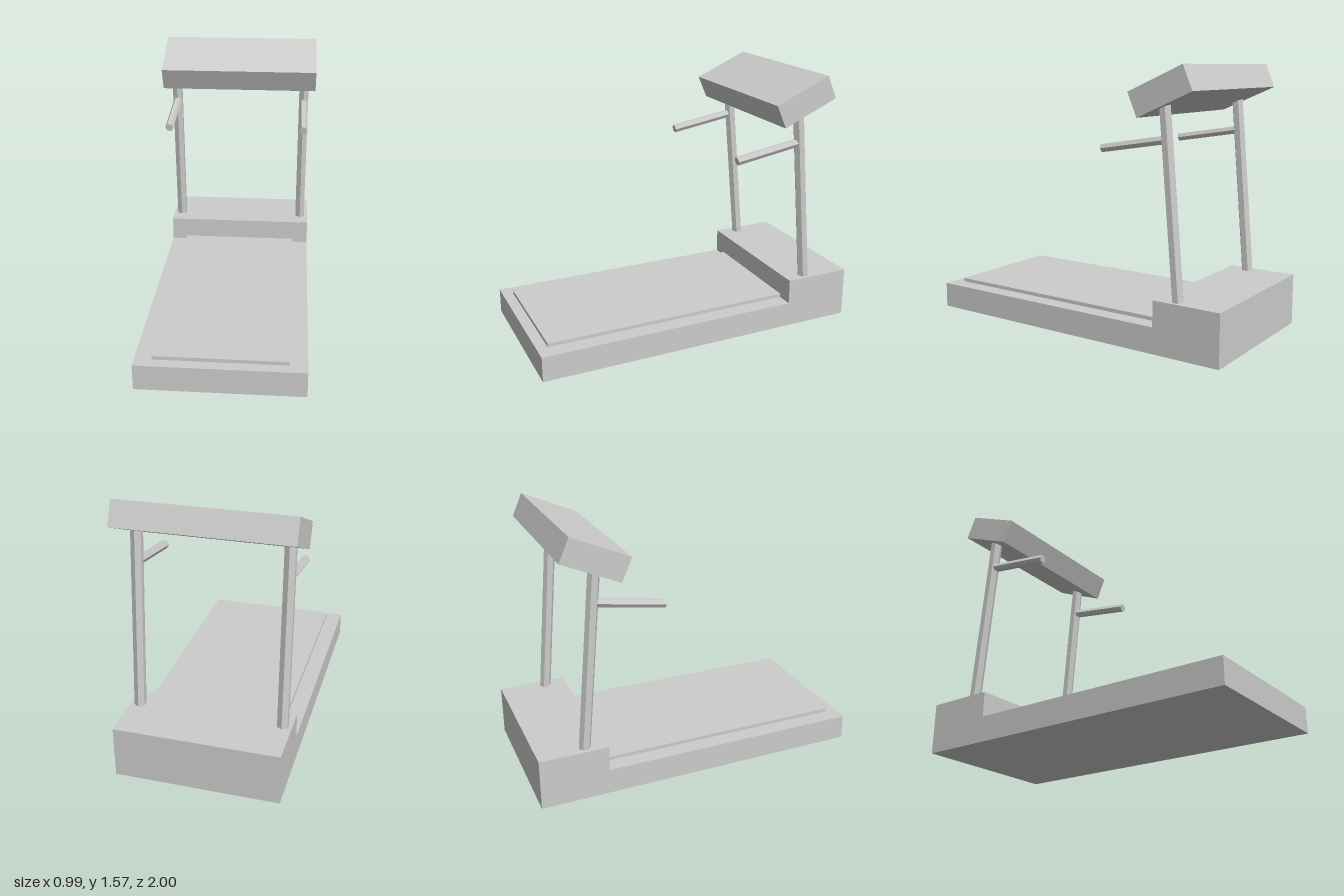
import * as THREE from 'three';

const grey = new THREE.MeshStandardMaterial({ color: 0xcccccc, flatShading: true });
grey.name = 'light grey';

function addMesh(parent, name, geometry, x = 0, y = 0, z = 0) {
  const mesh = new THREE.Mesh(geometry, grey);
  mesh.name = name;
  mesh.position.set(x, y, z);
  parent.add(mesh);
  return mesh;
}

// Six-sided bar between two [y, z] points in the plane at x
function addBar(parent, name, x, from, to, radius, turn = 0) {
  const dy = to[0] - from[0], dz = to[1] - from[1];
  const geometry = new THREE.CylinderGeometry(radius, radius, Math.hypot(dy, dz), 6);
  geometry.rotateY(turn);
  const bar = addMesh(parent, name, geometry, x, (from[0] + to[0]) / 2, (from[1] + to[1]) / 2);
  bar.rotation.x = Math.atan2(dz, dy);
}

export function createModel() {
  const model = new THREE.Group();
  model.name = 'treadmill';

  // Deck and motor hood as one stepped side profile, swept across the width
  const width = 0.954;
  const profile = new THREE.Shape([
    [-1, 0], [1, 0], [1, 0.305], [0.59, 0.305], [0.59, 0.153], [-1, 0.153],
  ].map(([x, y]) => new THREE.Vector2(x, y)));
  const base = new THREE.ExtrudeGeometry(profile, { depth: width, bevelEnabled: false });
  base.translate(0, 0, -width / 2).rotateY(Math.PI / 2);
  addMesh(model, 'base', base);

  // Running belt, slightly raised above the deck
  addMesh(model, 'runningBelt', new THREE.BoxGeometry(0.756, 0.035, 1.535), 0, 0.1575, 0.1675);

  // Leaning posts and the handles reaching back from them
  for (const [side, sign] of [['left', 1], ['right', -1]]) {
    const x = sign * 0.424;
    addBar(model, side + 'Post', x, [0.29, -0.72], [1.39, -0.622], 0.035);
    addBar(model, side + 'Handle', x, [1.174, -0.635], [1.107, -0.222], 0.026, Math.PI / 6);
  }

  // Tilted console
  const console_ = addMesh(model, 'console', new THREE.BoxGeometry(0.994, 0.148, 0.366), 0, 1.429, -0.633);
  console_.rotation.x = 0.41;

  return model;
}
